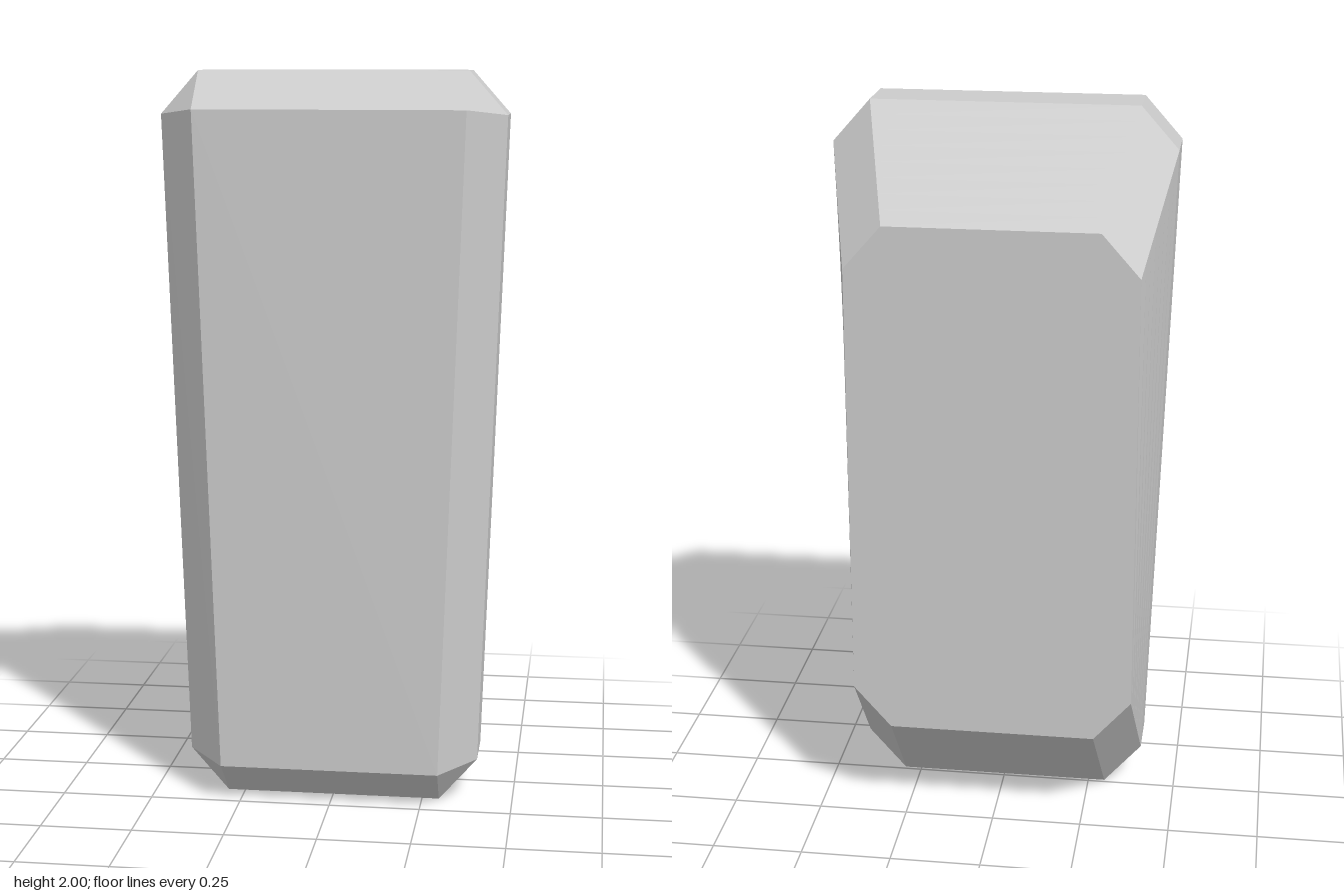
import * as THREE from 'three';

// Eight-cornered outline at depth z, counter-clockwise seen from the front:
// inner and outer half widths and heights at the top and at the bottom
function section(z, topIn, topOut, yTop, yTopSide, botIn, botOut, yBot, yBotSide) {
  const right = [[botIn, yBot], [botOut, yBotSide], [topOut, yTopSide], [topIn, yTop]];
  const left = right.map(([x, y]) => [-x, y]).reverse();
  return [...right, ...left].map(([x, y]) => new THREE.Vector3(x, y, z));
}

// Joins the sections from front to back and closes both ends
function loft(sections) {
  const points = [];
  const tri = (a, b, c) => {
    if (new THREE.Triangle(a, b, c).getArea() > 1e-6) points.push(a, b, c);
  };
  for (let s = 0; s < sections.length - 1; s++) {
    const f = sections[s], r = sections[s + 1];
    for (let i = 0; i < 8; i++) {
      const j = (i + 1) % 8;
      tri(f[i], r[i], f[j]);
      tri(f[j], r[i], r[j]);
    }
  }
  const front = sections[0], back = sections[sections.length - 1];
  for (let i = 1; i < 7; i++) {
    tri(front[0], front[i], front[i + 1]);
    tri(back[0], back[i + 1], back[i]);
  }
  const geometry = new THREE.BufferGeometry().setFromPoints(points);
  geometry.computeVertexNormals();
  return geometry;
}

export function createModel() {
  const grey = new THREE.MeshStandardMaterial({ color: 0xcccccc });
  grey.name = 'light grey';

  // Front panel, straight rim, then the slope to the smaller back panel
  const frontFace = section(0.265, 0.36, 0.36, 1.9, 1.9, 0.3, 0.3, 0.105, 0.105);
  const rimFront = section(0.16, 0.36, 0.462, 2, 1.885, 0.297, 0.402, 0, 0.12);
  const rimBack = section(0.01, 0.36, 0.462, 2, 1.885, 0.297, 0.402, 0, 0.12);
  const backFace = section(-0.265, 0.285, 0.388, 1.725, 1.608, 0.285, 0.388, 0.283, 0.4);

  // The sides twist gently towards the back, so the slope is cut into strips
  const sections = [frontFace, rimFront];
  const strips = 8;
  for (let k = 0; k <= strips; k++) {
    sections.push(rimBack.map((p, i) => p.clone().lerp(backFace[i], k / strips)));
  }

  const block = new THREE.Mesh(loft(sections), grey);
  block.name = 'bevelledBlock';
  const group = new THREE.Group();
  group.name = 'taperedBlock';
  group.add(block);
  return group;
}
